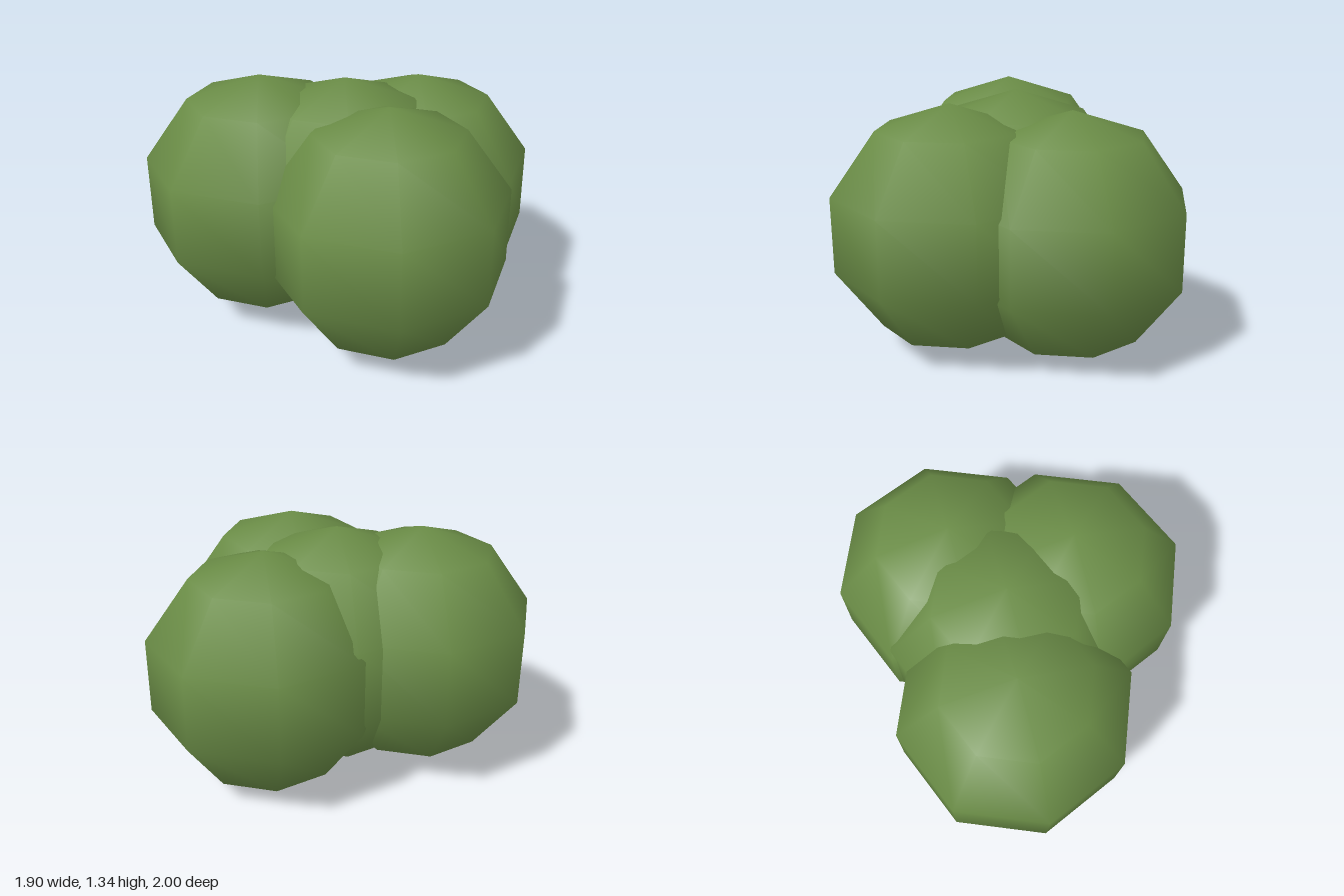
import * as THREE from 'three';

export function createModel() {
  const group = new THREE.Group();
  group.name = 'bush';

  const leafGreen = new THREE.MeshStandardMaterial({ color: 0x6a8c46 });
  leafGreen.name = 'leafGreen';

  // One smooth-shaded, low-poly leaf ball shared by every clump
  const ball = new THREE.SphereGeometry(0.645, 8, 5);

  const clumps = [
    ['leftClump', 0.335, 0.65, 0.127],
    ['frontClump', -0.225, 0.675, 0.387],
    ['backClump', -0.34, 0.702, -0.387],
    ['middleClump', -0.082, 0.7, -0.027],
  ];
  for (const [name, x, y, z] of clumps) {
    const clump = new THREE.Mesh(ball, leafGreen);
    clump.name = name;
    clump.position.set(x, y, z);
    group.add(clump);
  }
  return group;
}
